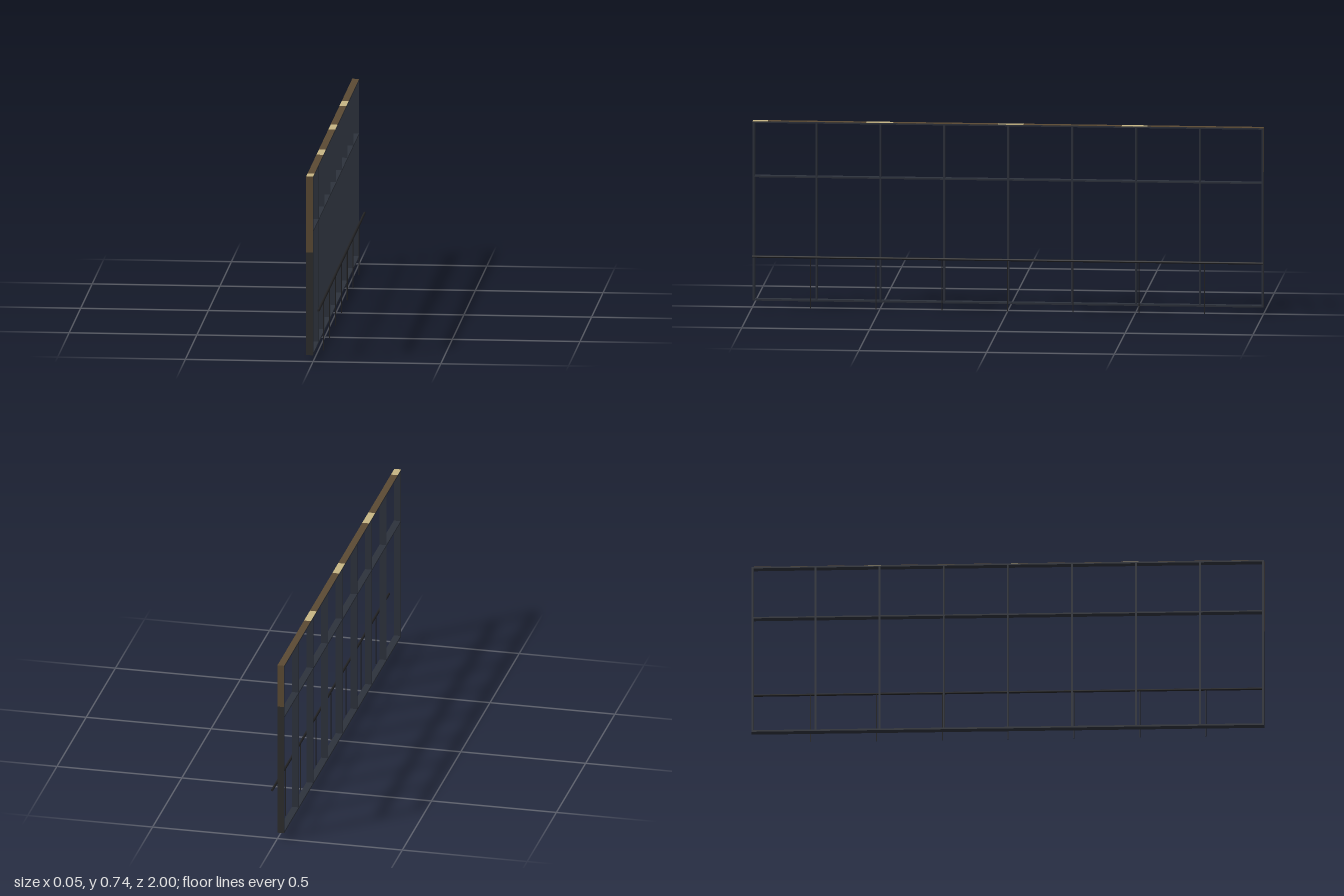
import * as THREE from 'three';

export function createModel() {
  const model = new THREE.Group();
  const mat = (name, color) => {
    const m = new THREE.MeshStandardMaterial({ color });
    m.name = name;
    return m;
  };
  const slate = mat('slate', 0x2d323c);
  const charcoal = mat('charcoal', 0x2c2c2c);
  const brown = mat('brown', 0x5b4a33);
  const cream = mat('cream', 0xc6b583);
  const railBlack = mat('rail black', 0x222224);

  const add = (name, geometry, material, x, y, z) => {
    const mesh = new THREE.Mesh(geometry, material);
    mesh.name = name;
    mesh.position.set(x, y, z);
    model.add(mesh);
    return mesh;
  };
  // Box given by its limits in y and z, spanning the frame depth
  const D = 0.027, X = -D / 2;
  const bar = (name, y0, y1, z0, z1, material) =>
    add(name, new THREE.BoxGeometry(D, y1 - y0, z1 - z0), material, X, (y0 + y1) / 2, (z0 + z1) / 2);

  const bottom = 0.025, top = 0.735, skin = 0.001, t = 0.007;

  // Outer frame and crossbar
  bar('bottomRail', bottom, bottom + t, -1 + skin, 1 - skin, slate);
  bar('crossbar', 0.513, 0.519, -0.992, 0.992, slate);
  bar('topRail', top - t, top - skin, -1 + skin, 1 - skin, slate);
  for (const s of [-1, 1]) {
    const a = s * (1 - skin), b = s * 0.991;
    bar('endPost', bottom + t, top - t, Math.min(a, b), Math.max(a, b), slate);
  }

  // Mullions
  for (let i = -3; i <= 3; i++) {
    const z = i * 0.25;
    bar('mullion', bottom + t, top - t, z - t / 2, z + t / 2, slate);
  }

  // Coloured outer faces of the end posts
  for (const [s, split] of [[1, 0.433], [-1, 0.56]]) {
    const z0 = s > 0 ? 1 - skin : -1, z1 = z0 + skin;
    bar('endFaceLower', bottom, split, z0, z1, charcoal);
    bar('endFaceUpper', split, top, z0, z1, brown);
  }

  // Top face with alternating brown and cream stretches
  const cuts = [-1 + skin, -0.545, -0.445, -0.06, 0.04, 0.45, 0.555, 0.94, 1 - skin];
  for (let i = 0; i < cuts.length - 1; i++) {
    bar('topFace', top - skin, top, cuts[i], cuts[i + 1], i % 2 ? cream : brown);
  }

  // Handrail in front of the frame
  const railX = 0.0215, railY = 0.203;
  const rail = add('handrail', new THREE.CylinderGeometry(0.0047, 0.0047, 2, 12), railBlack, railX, railY, 0);
  rail.rotation.x = Math.PI / 2;
  for (let i = -3; i <= 3; i++) {
    add('handrailPost', new THREE.CylinderGeometry(0.002, 0.002, railY, 8), railBlack, railX - 0.001, railY / 2, i * 0.257);
  }

  return model;
}
